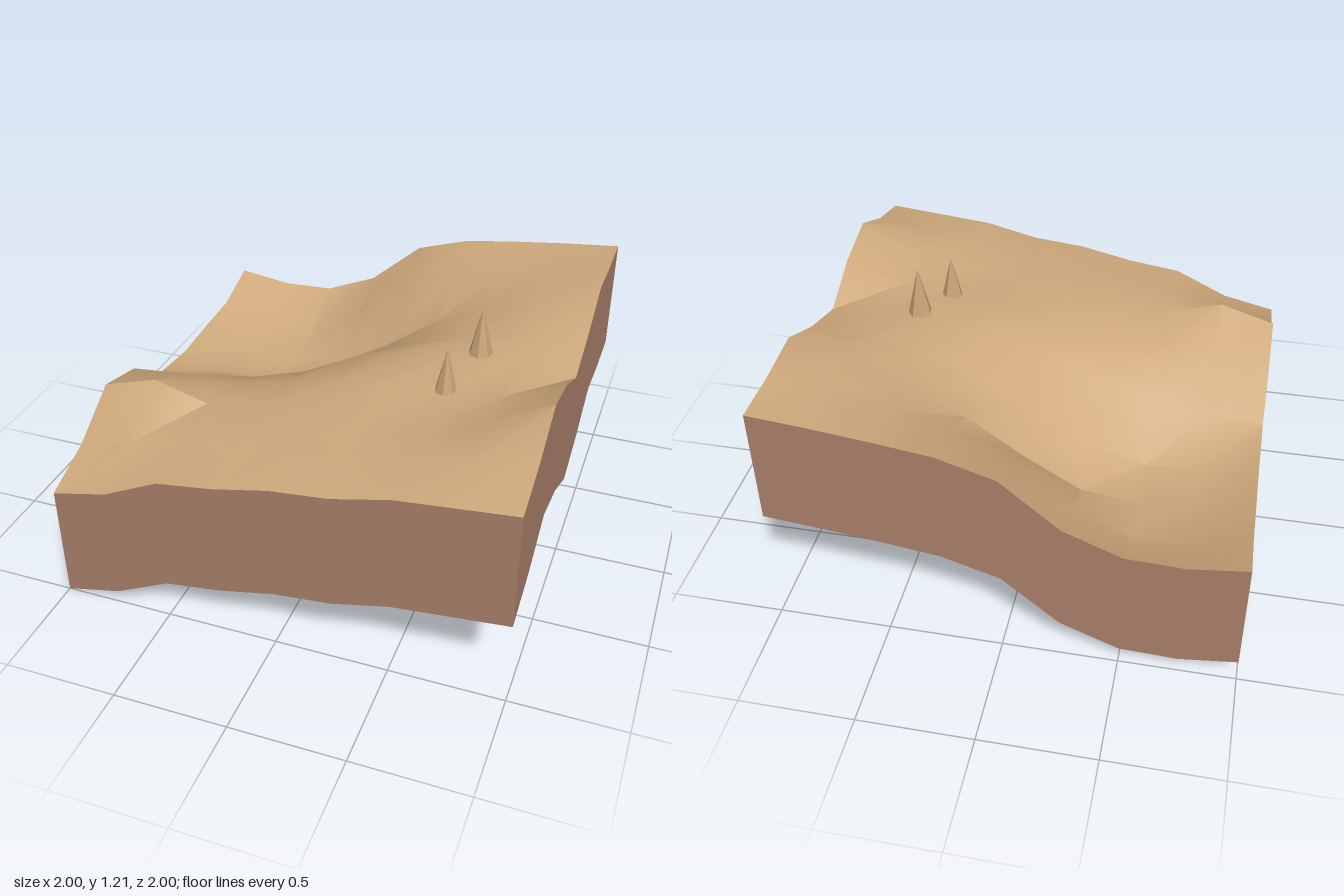
import * as THREE from 'three';
import { toCreasedNormals } from 'three/addons/utils/BufferGeometryUtils.js';

const CELLS = 8;
const DEPTH = 0.535;

// Ground heights: one row per z from back (-1) to front (1), x from -1 to 1
const HEIGHTS = [
  [0.643, 0.608, 0.618, 0.723, 0.94, 1.02, 1.055, 1.085, 1.11],
  [0.568, 0.5, 0.49, 0.61, 0.82, 0.95, 1.02, 1.075, 1.11],
  [0.558, 0.475, 0.455, 0.49, 0.64, 0.82, 0.96, 1.06, 1.13],
  [0.543, 0.48, 0.46, 0.54, 0.69, 0.84, 0.93, 0.99, 1.02],
  [0.568, 0.59, 0.64, 0.72, 0.85, 0.93, 0.96, 0.965, 0.945],
  [0.728, 0.75, 0.75, 0.795, 0.87, 0.91, 0.93, 0.95, 1.06],
  [0.788, 0.865, 0.795, 0.815, 0.875, 0.89, 0.915, 0.985, 1.115],
  [0.628, 0.695, 0.76, 0.79, 0.84, 0.885, 0.92, 0.96, 1.005],
  [0.538, 0.595, 0.715, 0.75, 0.805, 0.83, 0.89, 0.915, 0.94],
];

function groundGeometry() {
  const geo = new THREE.PlaneGeometry(2, 2, CELLS, CELLS).rotateX(-Math.PI / 2);
  const pos = geo.attributes.position;
  for (let i = 0; i < pos.count; i++) {
    pos.setY(i, HEIGHTS[Math.floor(i / (CELLS + 1))][i % (CELLS + 1)]);
  }
  return toCreasedNormals(geo, Math.PI / 6);
}

// Strip hanging from one edge; cell(i) gives [column, row], left to right seen from outside
function wallGeometry(cell) {
  const points = [];
  const index = [];
  for (let i = 0; i <= CELLS; i++) {
    const [col, row] = cell(i);
    const x = -1 + (2 * col) / CELLS;
    const z = -1 + (2 * row) / CELLS;
    const y = HEIGHTS[row][col];
    points.push(x, y, z, x, Math.max(0, y - DEPTH), z);
    if (i < CELLS) {
      const a = i * 2;
      index.push(a, a + 1, a + 3, a, a + 3, a + 2);
    }
  }
  const geo = new THREE.BufferGeometry();
  geo.setAttribute('position', new THREE.Float32BufferAttribute(points, 3));
  geo.setIndex(index);
  geo.computeVertexNormals();
  return geo;
}

export function createModel() {
  const sand = new THREE.MeshStandardMaterial({ color: 0xcfa97c, side: THREE.DoubleSide });
  sand.name = 'sand';
  const earth = new THREE.MeshStandardMaterial({ color: 0xab806a, side: THREE.DoubleSide });
  earth.name = 'earth';
  const stone = new THREE.MeshStandardMaterial({ color: 0xcba578, flatShading: true });
  stone.name = 'sandstone';

  const model = new THREE.Group();
  model.name = 'terrainTile';
  const add = (name, geo, mat) => {
    const mesh = new THREE.Mesh(geo, mat);
    mesh.name = name;
    model.add(mesh);
    return mesh;
  };

  // Rolling ground sheet, open underneath
  add('ground', groundGeometry(), sand);

  // Four cut earth sides
  add('frontWall', wallGeometry((i) => [i, CELLS]), earth);
  add('leftWall', wallGeometry((i) => [CELLS, CELLS - i]), earth);
  add('backWall', wallGeometry((i) => [CELLS - i, 0]), earth);
  add('rightWall', wallGeometry((i) => [0, i]), earth);

  // Pointed rocks
  const rocks = [
    { x: 0.58, z: 0, base: 0.985, height: 0.225, radius: 0.053 },
    { x: 0.497, z: 0.25, base: 0.918, height: 0.21, radius: 0.05 },
  ];
  rocks.forEach(({ x, z, base, height, radius }, i) => {
    const rock = add(`rockSpike${i + 1}`, new THREE.ConeGeometry(radius, height, 7), stone);
    rock.position.set(x, base + height / 2, z);
  });

  return model;
}
